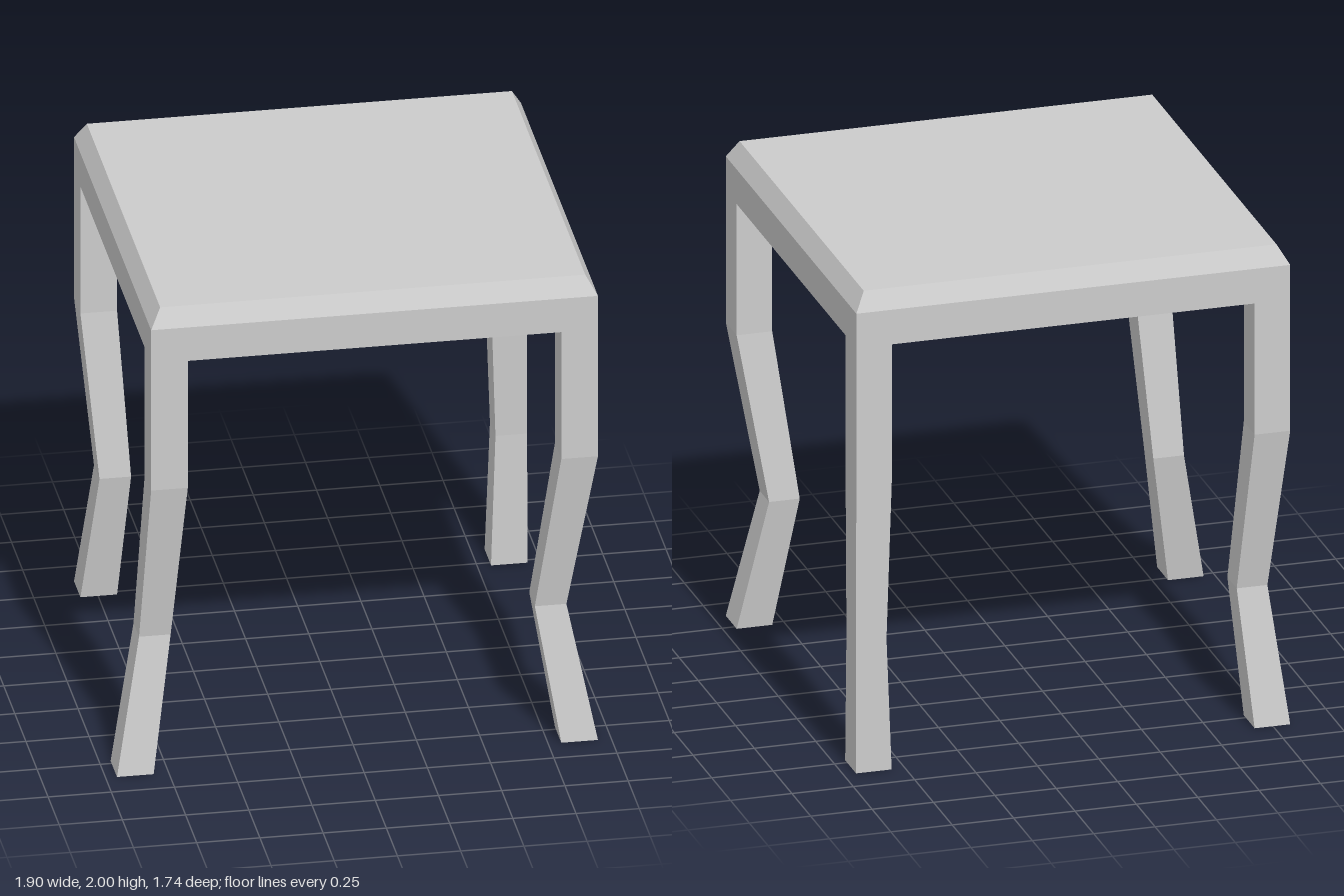
import * as THREE from 'three';

const material = new THREE.MeshStandardMaterial({ color: 0xcccccc, flatShading: true });

// Lofts rectangular sections [y, x0, x1, z0, z1], listed from bottom to top.
function loft(name, sections, capTop) {
  const rings = sections.map(([y, x0, x1, z0, z1]) =>
    [[x0, y, z1], [x1, y, z1], [x1, y, z0], [x0, y, z0]]);
  const positions = [];
  const quad = (a, b, c, d) => positions.push(...a, ...b, ...c, ...a, ...c, ...d);
  for (let i = 0; i < rings.length - 1; i++) {
    const low = rings[i], high = rings[i + 1];
    for (let k = 0; k < 4; k++) {
      const n = (k + 1) % 4;
      quad(low[k], low[n], high[n], high[k]);
    }
  }
  const [a, b, c, d] = rings[0];
  quad(d, c, b, a);
  if (capTop) quad(...rings[rings.length - 1]);

  const geometry = new THREE.BufferGeometry();
  geometry.setAttribute('position', new THREE.Float32BufferAttribute(positions, 3));
  geometry.computeVertexNormals();
  const mesh = new THREE.Mesh(geometry, material);
  mesh.name = name;
  return mesh;
}

// Square leg from the low x and z corner of its foot, knee and upper part.
function leg(name, foot, knee, top) {
  const section = (y, [x, z], size) => [y, x, x + size, z, z + size];
  return loft(name, [
    section(0, foot, 0.145),
    section(0.55, knee, 0.125),
    section(1.23, top, 0.145),
    section(1.78, top, 0.145),
  ], false);
}

export function createModel() {
  const group = new THREE.Group();
  group.name = 'stool';

  // Seat slab with a bevelled upper edge
  group.add(loft('seat', [
    [1.78, -0.82, 0.947, -0.868, 0.872],
    [1.925, -0.82, 0.947, -0.868, 0.872],
    [2, -0.777, 0.904, -0.825, 0.829],
  ], true));

  // Crooked legs, each bent its own way
  group.add(
    leg('frontRightLeg', [-0.955, 0.727], [-0.85, 0.645], [-0.82, 0.727]),
    leg('frontLeftLeg', [0.802, 0.727], [0.715, 0.645], [0.802, 0.727]),
    leg('backRightLeg', [-0.82, -0.868], [-0.76, -0.76], [-0.82, -0.868]),
    leg('backLeftLeg', [0.804, -0.87], [0.825, -0.87], [0.802, -0.868]),
  );
  return group;
}
